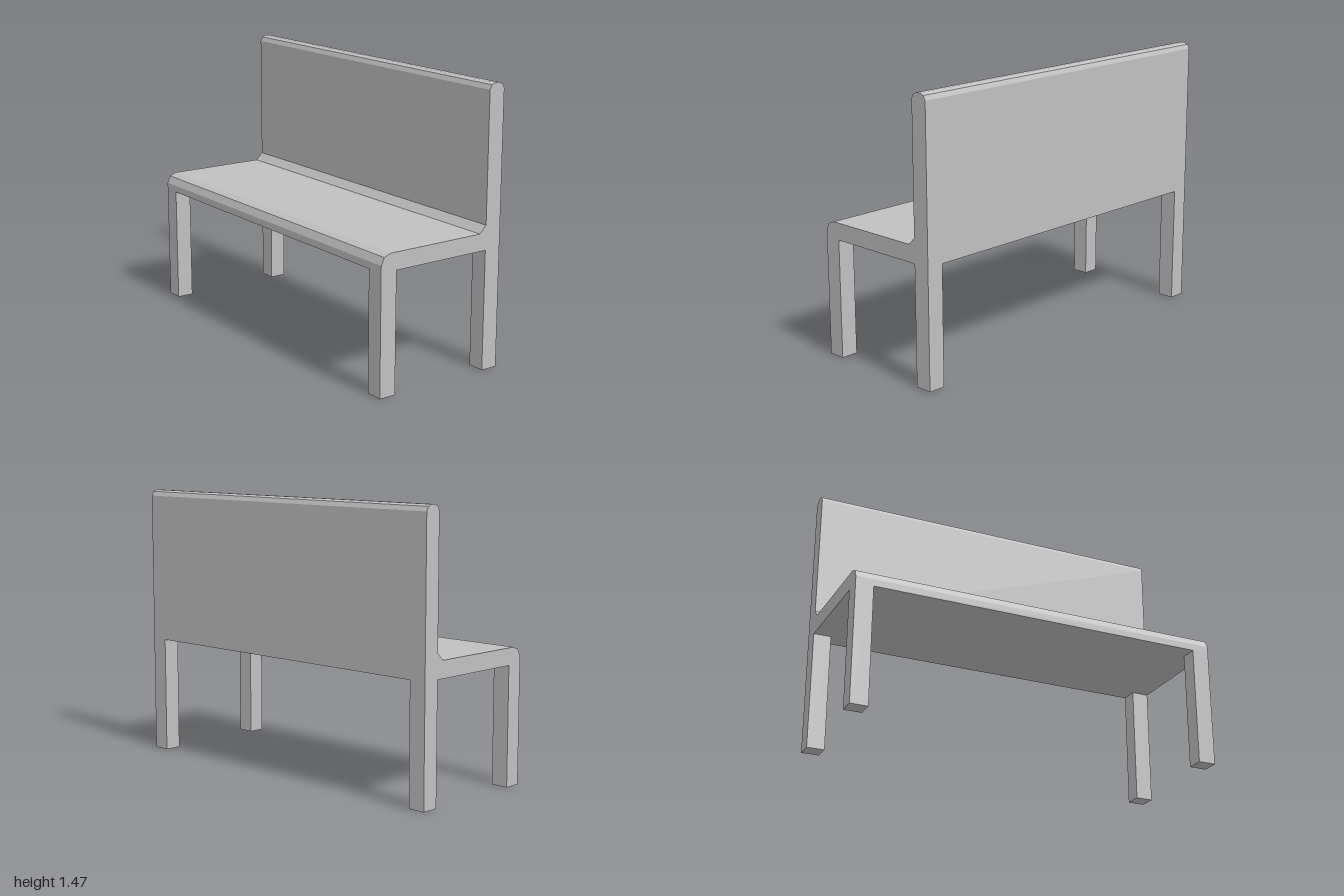
import * as THREE from 'three';

const WIDTH = 2, LEG_W = 0.094, LEG_D = 0.092, LEG_H = 0.63;
const FRONT = 0.372;

export function createModel() {
  const group = new THREE.Group();
  group.name = 'bench';
  const grey = new THREE.MeshStandardMaterial({ color: 0xc0c0c0, flatShading: true });
  grey.name = 'light grey';

  // Seat and backrest: one side profile (z, y) swept across the width
  const profile = [
    [-FRONT, LEG_H], [FRONT, LEG_H],
    [FRONT, 0.667], [0.354, 0.705], [0.316, 0.72], // chamfered front edge
    [-0.241, 0.72], [-0.28, 0.759], // fillet between seat and back
    [-0.28, 1.433], [-0.292, 1.456], [-0.315, 1.465], // rounded top edge
    [-0.337, 1.465], [-0.36, 1.456], [-FRONT, 1.433],
  ].map(([z, y]) => new THREE.Vector2(z, y));
  const body = new THREE.ExtrudeGeometry(new THREE.Shape(profile), { depth: WIDTH, bevelEnabled: false });
  body.rotateY(-Math.PI / 2).translate(WIDTH / 2, 0, 0);
  const seat = new THREE.Mesh(body, grey);
  seat.name = 'seatAndBackrest';
  group.add(seat);

  // Four square legs, flush with the corners
  const legGeometry = new THREE.BoxGeometry(LEG_W, LEG_H, LEG_D);
  for (const [sx, side] of [[1, 'Left'], [-1, 'Right']]) {
    for (const [sz, end] of [[1, 'front'], [-1, 'back']]) {
      const leg = new THREE.Mesh(legGeometry, grey);
      leg.name = `${end}${side}Leg`;
      leg.position.set(sx * (WIDTH - LEG_W) / 2, LEG_H / 2, sz * (FRONT - LEG_D / 2));
      group.add(leg);
    }
  }
  return group;
}
